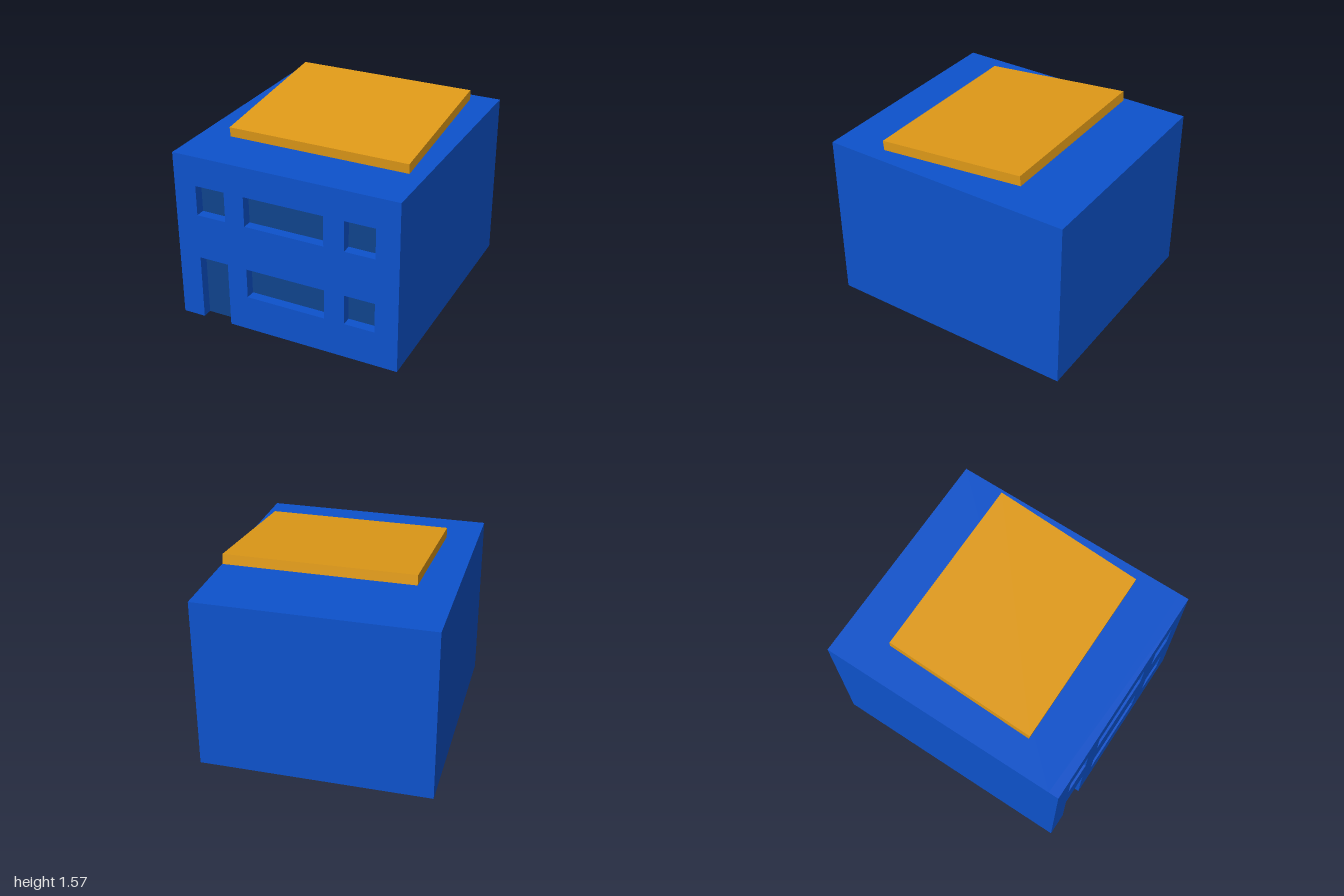
import * as THREE from 'three';

const WIDTH = 1.8, HEIGHT = 1.36, DEPTH = 2, RECESS = 0.08;

function material(color) {
  return new THREE.MeshStandardMaterial({ color });
}

function box(name, w, h, d, mat, x, y, z) {
  const mesh = new THREE.Mesh(new THREE.BoxGeometry(w, h, d), mat);
  mesh.name = name;
  mesh.position.set(x, y, z);
  return mesh;
}

export function createModel() {
  const group = new THREE.Group();
  group.name = 'house';
  const wall = material(0x0d52cc);
  const pane = material(0x0f438c);
  const orange = material(0xe09a18);

  // Openings as [x0, x1, y0, y1]
  const door = [-0.72, -0.48, 0, 0.525];
  const wide = [-0.32, 0.32], right = [0.48, 0.72], left = [-0.72, -0.48];
  const lower = [0.285, 0.525], upper = [0.885, 1.125];
  const windows = [
    [...wide, ...lower], [...right, ...lower],
    [...left, ...upper], [...wide, ...upper], [...right, ...upper],
  ];

  // Solid block behind the facade
  const front = DEPTH / 2 - RECESS;
  group.add(box('body', WIDTH, HEIGHT, DEPTH - RECESS, wall, 0, HEIGHT / 2, -RECESS / 2));

  // Facade with a door notch and window holes
  const hw = WIDTH / 2;
  const outline = new THREE.Shape([
    [-hw, 0], [door[0], 0], [door[0], door[3]], [door[1], door[3]],
    [door[1], 0], [hw, 0], [hw, HEIGHT], [-hw, HEIGHT],
  ].map(([x, y]) => new THREE.Vector2(x, y)));
  for (const [x0, x1, y0, y1] of windows) {
    outline.holes.push(new THREE.Path([
      new THREE.Vector2(x0, y0), new THREE.Vector2(x0, y1),
      new THREE.Vector2(x1, y1), new THREE.Vector2(x1, y0),
    ]));
  }
  const facade = new THREE.Mesh(
    new THREE.ExtrudeGeometry(outline, { depth: RECESS, bevelEnabled: false }), wall);
  facade.name = 'facade';
  facade.position.z = front;
  group.add(facade);

  // Dark panels set at the back of each recess
  const addPanel = (name, [x0, x1, y0, y1]) => group.add(
    box(name, x1 - x0, y1 - y0, 0.006, pane, (x0 + x1) / 2, (y0 + y1) / 2, front + 0.001));
  addPanel('door', door);
  windows.forEach((w) => addPanel('windowPane', w));

  // Tilted roof slab, lower at the front
  const roof = box('roofSlab', 1.44, 0.077, 1.2, orange, 0.065, 1.468, 0.003);
  roof.rotation.x = 0.1;
  group.add(roof);

  return group;
}
